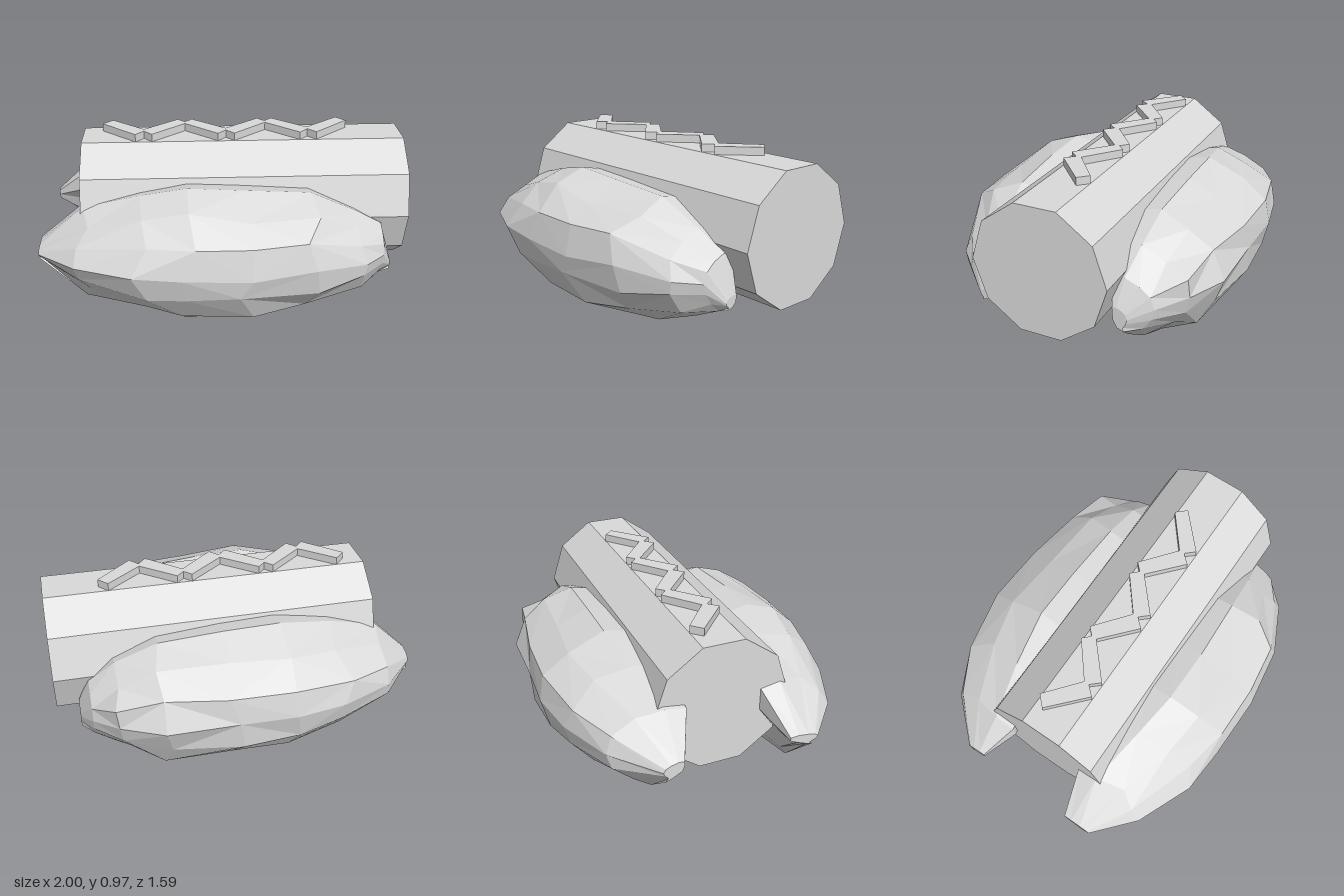
import * as THREE from 'three';

const grey = new THREE.MeshStandardMaterial({ color: 0xdadada, flatShading: true });
grey.name = 'stone grey';

// Small seeded generator for the chipped facets
function seeded(seed) {
  let s = seed;
  return () => {
    s = (s * 16807) % 2147483647;
    return s / 2147483647 - 0.5;
  };
}

// Boulder cross-section from inner top over the outside:
// [inner to outer, bottom to top, least distance from the middle]
const section = [
  [0, 0.96, 0], [0.28, 1, 0], [0.64, 0.9, 0], [0.9, 0.76, 0], [1, 0.56, 0], [0.93, 0.37, 0],
  [0.73, 0.17, 0], [0.32, 0, 0.4], [0.16, 0.11, 0.365], [0.06, 0.42, 0.31], [0, 0.7, 0],
];

// Stations along x: [x, inner z, outer z, bottom y, top y]
const frontStations = [
  [-1, 0.27, 0.43, 0.38, 0.45], [-0.76, 0.21, 0.61, 0.145, 0.645],
  [-0.45, 0.24, 0.745, 0.07, 0.735], [-0.2, 0.28, 0.785, 0.005, 0.79],
  [0.1, 0.28, 0.8, 0.04, 0.775], [0.45, 0.28, 0.745, 0.085, 0.75],
  [0.7, 0.3, 0.62, 0.18, 0.63], [0.85, 0.32, 0.5, 0.25, 0.54],
  [0.91, 0.34, 0.41, 0.27, 0.34],
];
const backStations = [
  [-0.98, 0.3, 0.41, 0.36, 0.46], [-0.79, 0.21, 0.62, 0.2, 0.64],
  [-0.5, 0.24, 0.755, 0.1, 0.74], [-0.2, 0.28, 0.815, 0.04, 0.8],
  [0.1, 0.28, 0.8, 0.02, 0.79], [0.45, 0.28, 0.76, 0.04, 0.76],
  [0.68, 0.3, 0.69, 0.14, 0.67], [0.82, 0.32, 0.54, 0.23, 0.55],
  [0.88, 0.34, 0.42, 0.28, 0.41],
];

function boulder(name, stations, side, seed) {
  const rnd = seeded(seed);
  const n = section.length;
  const last = stations.length - 1;
  const rings = stations.map(([x, zi, zo, yb, yt], s) => section.map(([u, v, least], i) => {
    const rough = s > 0 && s < last - 1 && i > 1 && i < 7 ? 1 : 0;
    const dx = rnd() * 0.09 * rough;
    const dy = rnd() * 0.04 * rough;
    const dz = rnd() * 0.035 * rough;
    const z = Math.max(zi + (zo - zi) * u + dz, least);
    return [x + dx, yb + (yt - yb) * v + dy, side * z];
  }));
  const pos = [];
  const tri = (a, b, c) => pos.push(...a, ...(side > 0 ? b : c), ...(side > 0 ? c : b));

  // Skin between neighbouring rings, with irregular diagonals
  for (let s = 0; s < last; s++) {
    for (let i = 0; i < n; i++) {
      const j = (i + 1) % n;
      const a = rings[s][i], b = rings[s][j], c = rings[s + 1][j], d = rings[s + 1][i];
      if (rnd() > 0) {
        tri(a, b, c);
        tri(a, c, d);
      } else {
        tri(a, b, d);
        tri(b, c, d);
      }
    }
  }
  // End caps
  const middle = (ring) => [0, 1, 2].map((k) => ring.reduce((t, p) => t + p[k], 0) / n);
  const m0 = middle(rings[0]), m1 = middle(rings[last]);
  for (let i = 0; i < n; i++) {
    const j = (i + 1) % n;
    tri(m0, rings[0][j], rings[0][i]);
    tri(m1, rings[last][i], rings[last][j]);
  }
  const geo = new THREE.BufferGeometry();
  geo.setAttribute('position', new THREE.Float32BufferAttribute(pos, 3));
  geo.computeVertexNormals();
  const mesh = new THREE.Mesh(geo, grey);
  mesh.name = name;
  return mesh;
}

// Ten-sided bar lying along x
function bar() {
  const geo = new THREE.CylinderGeometry(0.373, 0.373, 1.77, 10).rotateZ(Math.PI / 2);
  const mesh = new THREE.Mesh(geo, grey);
  mesh.name = 'tenSidedBar';
  mesh.position.set(0.115, 0.575, -0.003);
  return mesh;
}

// Raised zigzag band on the bar's flat top
function zigzag() {
  const outline = [[-0.665, -0.065], [-0.61, -0.12]];
  for (let k = 0; k < 3; k++) {
    const x = -0.43 + k * 0.45;
    outline.push([x, 0.03], [x + 0.185, -0.12]);
    if (k < 2) outline.push([x + 0.225, -0.08], [x + 0.265, -0.12]);
  }
  outline.push([0.705, -0.065]);
  for (let k = 2; k >= 0; k--) {
    const x = -0.43 + k * 0.45;
    outline.push([x + 0.045, 0.11], [x, 0.06], [x - 0.045, 0.11]);
    if (k > 0) outline.push([x - 0.225, -0.05]);
  }
  const shape = new THREE.Shape(outline.map(([x, z]) => new THREE.Vector2(x, -z)));
  const geo = new THREE.ExtrudeGeometry(shape, { depth: 0.05, bevelEnabled: false });
  geo.rotateX(-Math.PI / 2);
  const mesh = new THREE.Mesh(geo, grey);
  mesh.name = 'zigzagBand';
  mesh.position.y = 0.923;
  return mesh;
}

export function createModel() {
  const group = new THREE.Group();
  group.name = 'barBetweenBoulders';
  group.add(
    bar(),
    zigzag(),
    boulder('frontBoulder', frontStations, 1, 71),
    boulder('backBoulder', backStations, -1, 1234),
  );
  return group;
}
